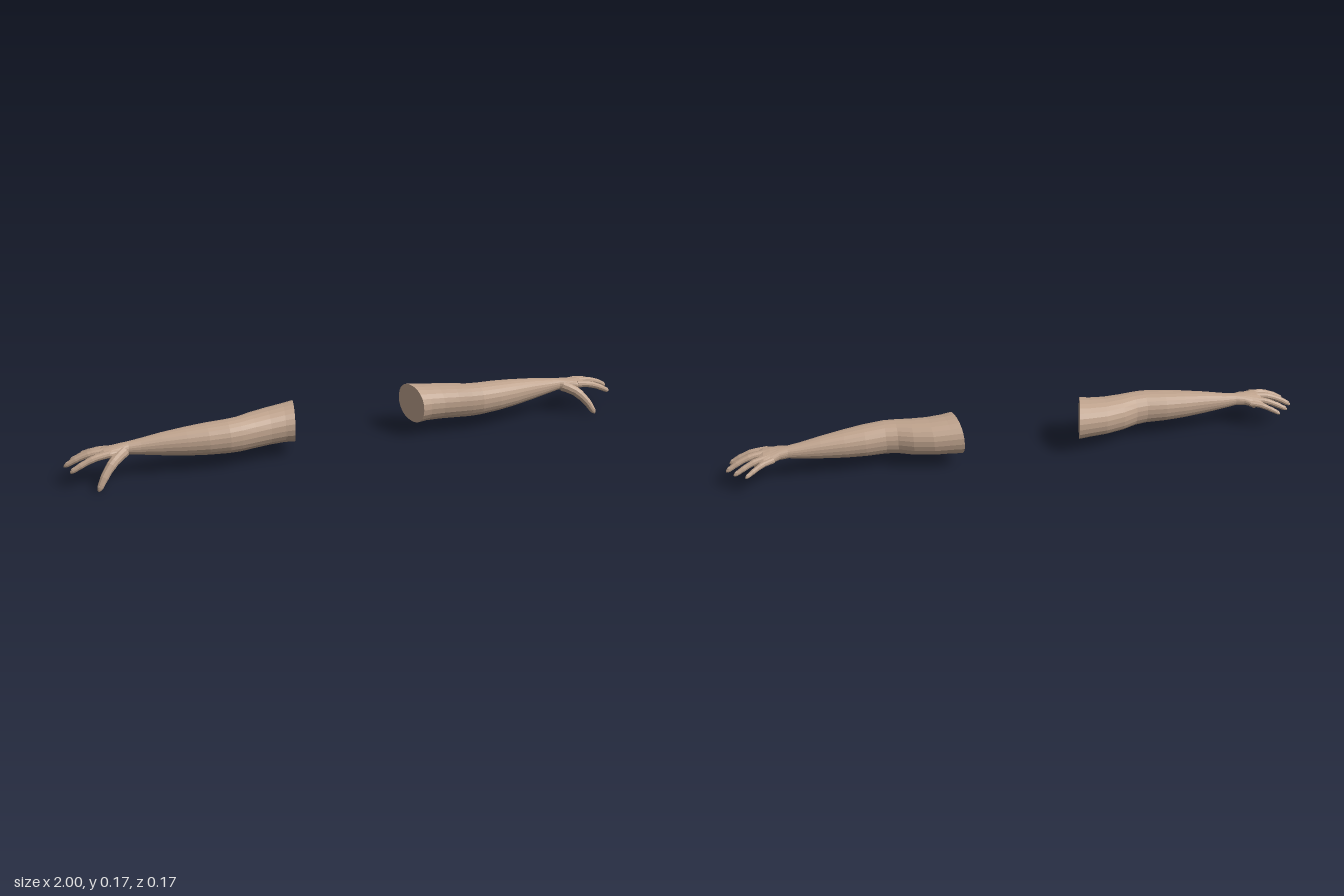
import * as THREE from 'three';

const skin = new THREE.MeshStandardMaterial({ color: 0xc0a48e, flatShading: true });
const nailSkin = new THREE.MeshStandardMaterial({ color: 0xc8ae9a });

// Skin a list of equal rings, closing both ends; side = -1 mirrors across x.
function loft(rings, side) {
  const n = rings[0].length, pos = [], index = [];
  const push = (p) => pos.push(p.x * side, p.y, p.z);
  const tri = (a, b, c) => (side > 0 ? index.push(a, b, c) : index.push(a, c, b));
  const middle = (ring) => ring.reduce((s, p) => s.add(p), new THREE.Vector3()).divideScalar(n);
  rings.forEach((ring) => ring.forEach(push));
  for (let i = 0; i < rings.length - 1; i++) {
    for (let j = 0; j < n; j++) {
      const a = i * n + j, b = i * n + (j + 1) % n;
      tri(a, b, a + n);
      tri(b, b + n, a + n);
    }
  }
  const last = (rings.length - 1) * n, c0 = rings.length * n;
  push(middle(rings[0]));
  push(middle(rings[rings.length - 1]));
  for (let j = 0; j < n; j++) {
    const k = (j + 1) % n;
    tri(c0, k, j);
    tri(c0 + 1, last + j, last + k);
  }
  const geo = new THREE.BufferGeometry();
  geo.setAttribute('position', new THREE.Float32BufferAttribute(pos, 3));
  geo.setIndex(index);
  geo.computeVertexNormals();
  return geo;
}

// Arm and palm sections: x, top, bottom, front z, back z, slant of the section
const sections = [
  [0.22, 0.178, 0.043, 0.066, -0.088, 0.22],
  [0.255, 0.173, 0.046, 0.062, -0.084, 0.18],
  [0.31, 0.168, 0.046, 0.062, -0.077, 0.1],
  [0.37, 0.165, 0.046, 0.067, -0.06, 0],
  [0.42, 0.163, 0.047, 0.073, -0.039, 0],
  [0.46, 0.162, 0.049, 0.076, -0.034, 0],
  [0.53, 0.158, 0.052, 0.07, -0.038, 0],
  [0.6, 0.152, 0.057, 0.057, -0.036, 0],
  [0.68, 0.143, 0.067, 0.04, -0.031, 0],
  [0.75, 0.132, 0.078, 0.026, -0.026, 0],
  [0.79, 0.127, 0.085, 0.02, -0.023, 0],
  [0.82, 0.124, 0.084, 0.028, -0.027, 0],
  [0.85, 0.122, 0.085, 0.037, -0.038, 0],
  [0.872, 0.119, 0.089, 0.039, -0.045, 0],
  [0.886, 0.113, 0.092, 0.033, -0.04, 0],
];

function armRings() {
  const n = 22;
  return sections.map(([x, top, bottom, front, back, slant]) => {
    const yc = (top + bottom) / 2, zc = (front + back) / 2;
    return Array.from({ length: n }, (_, j) => {
      const a = (j / n) * Math.PI * 2, c = Math.cos(a), s = Math.sin(a);
      const z = zc - Math.sign(c) * Math.abs(c) ** 0.92 * (front - back) / 2;
      const y = yc + Math.sign(s) * Math.abs(s) ** 0.92 * (top - bottom) / 2;
      // the back of the hand falls away toward the little finger
      const drop = x > 0.82 ? Math.min(0, z) * -0.22 : 0;
      return new THREE.Vector3(x + slant * z, y - drop, z);
    });
  });
}

// Each digit: name, base radius, tip radius, path from knuckle to tip
const digits = [
  ['indexFinger', 0.0125, 0.0085, [[0.855, 0.106, 0.026], [0.905, 0.1, 0.03], [0.95, 0.083, 0.032], [0.987, 0.062, 0.031]]],
  ['middleFinger', 0.0125, 0.0085, [[0.855, 0.108, 0.005], [0.91, 0.104, -0.001], [0.96, 0.087, -0.009], [1.0, 0.064, -0.017]]],
  ['ringFinger', 0.012, 0.008, [[0.85, 0.104, -0.016], [0.9, 0.099, -0.027], [0.94, 0.085, -0.039], [0.975, 0.068, -0.05]]],
  ['littleFinger', 0.011, 0.007, [[0.84, 0.099, -0.03], [0.875, 0.096, -0.044], [0.91, 0.085, -0.063], [0.937, 0.073, -0.079]]],
  ['thumb', 0.02, 0.01, [[0.805, 0.102, 0.012], [0.842, 0.086, 0.039], [0.878, 0.051, 0.062], [0.908, 0.004, 0.079]]],
];

function frame(curve, t) {
  const d = curve.getTangentAt(t);
  const s = new THREE.Vector3(0, 1, 0).cross(d).normalize();
  return { p: curve.getPointAt(t), d, s, u: d.clone().cross(s) };
}

function digitRadius(t, r0, r1) {
  const joint = Math.exp(-(((t - 0.42) / 0.07) ** 2)) + Math.exp(-(((t - 0.7) / 0.06) ** 2));
  const tip = t > 0.86 ? Math.sqrt(Math.max(0.04, 1 - ((t - 0.86) / 0.14) ** 2)) : 1;
  return (THREE.MathUtils.lerp(r0, r1, t) + joint * 0.0008) * tip;
}

function digitRings(curve, r0, r1) {
  const n = 10, steps = [0, 0.15, 0.32, 0.42, 0.54, 0.64, 0.7, 0.79, 0.86, 0.92, 0.965, 0.99, 1];
  return steps.map((t) => {
    const { p, s, u } = frame(curve, t), r = digitRadius(t, r0, r1);
    return Array.from({ length: n }, (_, j) => {
      const a = (j / n) * Math.PI * 2;
      return p.clone().addScaledVector(s, r * Math.cos(a)).addScaledVector(u, r * Math.sin(a));
    });
  });
}

// Small flattened nail on the upper side of a fingertip
function nail(curve, r1, side) {
  const { p, d, s, u } = frame(curve, 0.89);
  const geo = new THREE.SphereGeometry(1, 10, 6).scale(r1 * 0.62, r1 * 0.22, r1 * 0.9);
  geo.applyMatrix4(new THREE.Matrix4().makeBasis(s, u, d).setPosition(p.addScaledVector(u, r1 * 0.84)));
  if (side < 0) {
    geo.rotateZ(0).scale(-1, 1, 1);
    const ix = geo.index.array;
    for (let i = 0; i < ix.length; i += 3) [ix[i], ix[i + 1]] = [ix[i + 1], ix[i]];
    geo.computeVertexNormals();
  }
  return geo;
}

function addMesh(parent, name, geo, material) {
  const mesh = new THREE.Mesh(geo, material);
  mesh.name = name;
  parent.add(mesh);
}

function buildArm(side) {
  const arm = new THREE.Group();
  arm.name = side > 0 ? 'leftArm' : 'rightArm';
  addMesh(arm, 'armAndPalm', loft(armRings(), side), skin);
  for (const [name, r0, r1, path] of digits) {
    const curve = new THREE.CatmullRomCurve3(path.map((p) => new THREE.Vector3(...p)));
    addMesh(arm, name, loft(digitRings(curve, r0, r1), side), skin);
    addMesh(arm, name + 'Nail', nail(curve, r1, side), nailSkin);
  }
  return arm;
}

export function createModel() {
  const model = new THREE.Group();
  model.name = 'pairOfArms';
  model.add(buildArm(1), buildArm(-1));
  return model;
}
